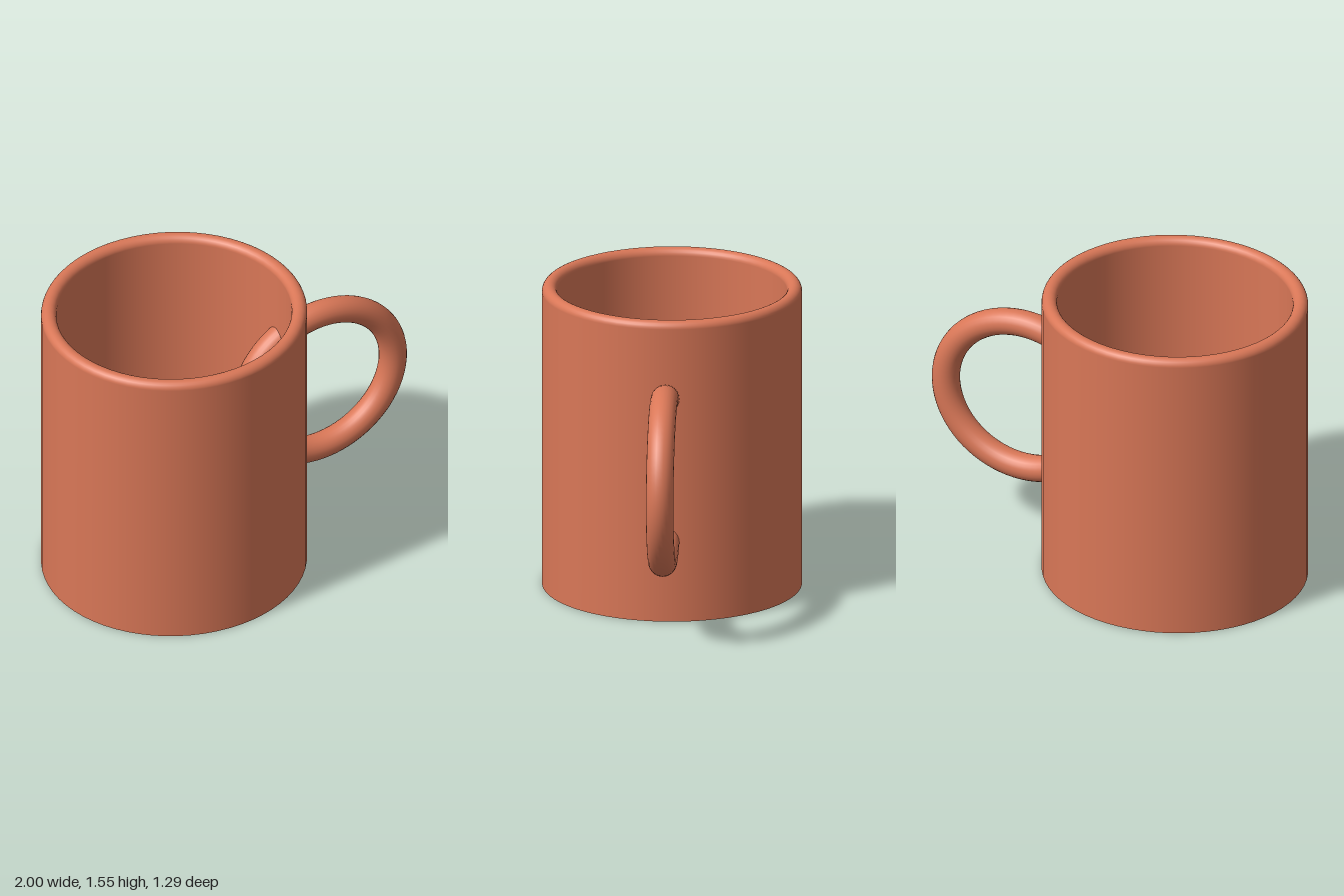
import * as THREE from 'three';

const OUTER = 0.645, INNER = 0.571, HEIGHT = 1.55, FLOOR = 0.08;
const STRETCH = 1.031; // the cup is slightly wider along x

export function createModel() {
  const clay = new THREE.MeshStandardMaterial({ color: 0xd97757 });
  clay.name = 'terracotta';

  const model = new THREE.Group();
  model.name = 'mug';

  const add = (name, geometry, parent) => {
    const mesh = new THREE.Mesh(geometry, clay);
    mesh.name = name;
    parent.add(mesh);
    return mesh;
  };

  const cup = new THREE.Group();
  cup.name = 'cup';
  cup.position.x = -0.335;
  cup.scale.x = STRETCH;
  model.add(cup);

  // Wall: up the outside, over the half-round rim, down the inside
  const lip = (OUTER - INNER) / 2;
  const profile = [new THREE.Vector2(OUTER, 0)];
  for (let i = 0; i <= 12; i++) {
    const a = (i / 12) * Math.PI;
    profile.push(new THREE.Vector2(
      (OUTER + INNER) / 2 + lip * Math.cos(a),
      HEIGHT - lip + lip * Math.sin(a)
    ));
  }
  profile.push(new THREE.Vector2(INNER, FLOOR));
  add('wall', new THREE.LatheGeometry(profile, 64), cup);

  // Inner floor and underside
  add('floor', new THREE.CircleGeometry(INNER, 64).rotateX(-Math.PI / 2), cup).position.y = FLOOR;
  add('base', new THREE.CircleGeometry(OUTER, 64).rotateX(Math.PI / 2), cup);

  // Handle: a full ring that passes through the wall
  const handle = add('handle', new THREE.TorusGeometry(0.407, 0.067, 24, 80), model);
  handle.position.set(0.5, 0.782, 0);
  handle.scale.set(1.053, 1, 1.02);

  return model;
}
